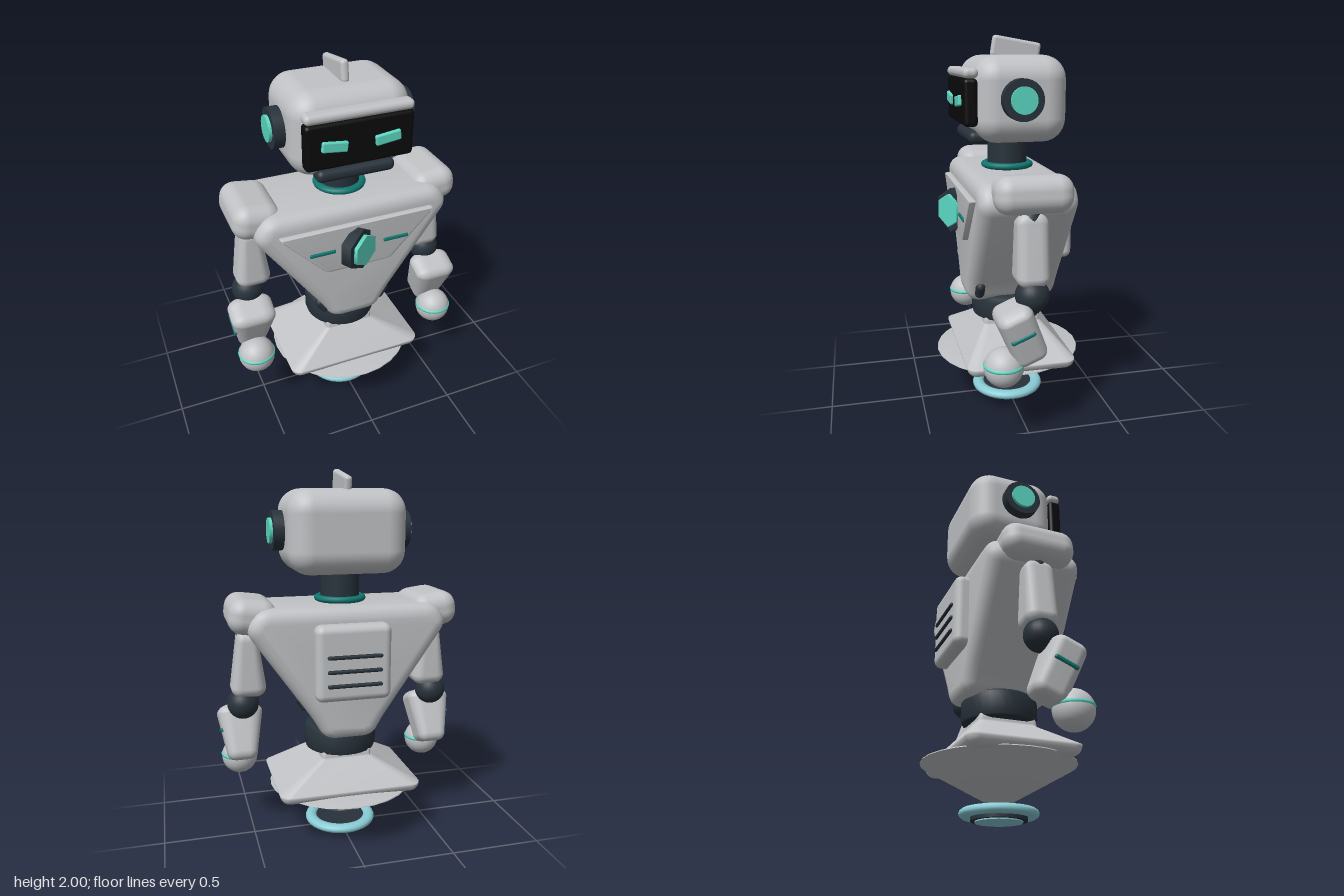
import * as THREE from 'three';
import { mergeVertices, toCreasedNormals } from 'three/addons/utils/BufferGeometryUtils.js';
import { RoundedBoxGeometry } from 'three/addons/geometries/RoundedBoxGeometry.js';

const mat = (name, color) => {
  const m = new THREE.MeshStandardMaterial({ color });
  m.name = name;
  return m;
};

// Rounded box whose cross-section scales linearly between its rounded ends
function taperedBox(w, h, d, r, topX, topZ) {
  let g = new RoundedBoxGeometry(w, h, d, 5, r);
  const p = g.attributes.position;
  for (let i = 0; i < p.count; i++) {
    const t = THREE.MathUtils.clamp((p.getY(i) + h / 2 - r) / (h - 2 * r), 0, 1);
    p.setX(i, p.getX(i) * (1 + (topX - 1) * t));
    p.setZ(i, p.getZ(i) * (1 + (topZ - 1) * t));
  }
  g.deleteAttribute('normal');
  g.deleteAttribute('uv');
  g = mergeVertices(g, 1e-4);
  g.computeVertexNormals();
  return g;
}

// Closed outline with softened corners, mirrored from its right half (top to bottom)
function softShape(half, soft) {
  const pts = [...half, ...half.map(([x, y]) => [-x, y]).reverse()].map(([x, y]) => new THREE.Vector2(x, y));
  const s = new THREE.Shape();
  pts.forEach((p, i) => {
    const toward = (q) => p.clone().add(q.clone().sub(p).setLength(Math.min(soft, p.distanceTo(q) * 0.45)));
    const a = toward(pts[(i + pts.length - 1) % pts.length]);
    const b = toward(pts[(i + 1) % pts.length]);
    if (i === 0) s.moveTo(a.x, a.y); else s.lineTo(a.x, a.y);
    s.quadraticCurveTo(p.x, p.y, b.x, b.y);
  });
  s.closePath();
  return s;
}

// Bevelled slab between z0 and z1 that keeps the outline as its outer size
function slab(shape, z0, z1, bevel, segments) {
  const g = new THREE.ExtrudeGeometry(shape, {
    depth: z1 - z0 - 2 * bevel, bevelThickness: bevel, bevelSize: bevel,
    bevelOffset: -bevel, bevelSegments: segments, curveSegments: 5,
  });
  g.translate(0, 0, z0 + bevel);
  return toCreasedNormals(g, 0.7);
}

export function createModel() {
  const shell = mat('shellGrey', 0xc0c2c5);
  const dark = mat('jointDark', 0x28323b);
  const black = mat('visorBlack', 0x0a0a0b);
  const glow = mat('glowTeal', 0x5cd8c2);
  const teal = mat('deepTeal', 0x0f766f);
  const ice = mat('iceBlue', 0x8accd6);

  const model = new THREE.Group();
  model.name = 'robot';
  const add = (name, geo, material, x = 0, y = 0, z = 0, rx = 0, ry = 0, rz = 0) => {
    const m = new THREE.Mesh(geo, material);
    m.name = name;
    m.position.set(x, y, z);
    m.rotation.set(rx, ry, rz);
    model.add(m);
    return m;
  };
  const box = (w, h, d, r) => new RoundedBoxGeometry(w, h, d, 4, r);
  const cyl = (r, h, n = 32) => new THREE.CylinderGeometry(r, r, h, n);
  const lathe = (pts, n = 32) => toCreasedNormals(
    new THREE.LatheGeometry(pts.map(([x, y]) => new THREE.Vector2(x, y)), n), 0.6);

  // Head
  add('head', box(0.62, 0.43, 0.475, 0.12), shell, 0, 1.685, -0.018);
  add('headFin', box(0.04, 0.11, 0.26, 0.018), shell, 0, 1.925, -0.045, -0.17);
  add('visor', box(0.55, 0.23, 0.07, 0.02), black, 0, 1.675, 0.24);
  add('brow', box(0.55, 0.05, 0.075, 0.024), shell, 0, 1.815, 0.238);
  add('chin', box(0.41, 0.065, 0.1, 0.03), dark, 0, 1.498, 0.19);

  // Neck
  add('neck', cyl(0.105, 0.2), dark, 0, 1.4, 0);
  const collar = add('neckCollar', new THREE.TorusGeometry(0.118, 0.022, 10, 32), teal, 0, 1.332, 0, Math.PI / 2);
  collar.scale.z = 0.8;

  // Torso and chest
  const torsoHalf = [[0.47, 1.315], [0.54, 1.21], [0.185, 0.7], [0.13, 0.6]];
  add('torso', slab(softShape(torsoHalf, 0.06), -0.245, 0.25, 0.065, 4), shell);
  add('chestPanel', slab(softShape([[0.425, 1.225], [0.18, 0.965]], 0.02), 0.22, 0.283, 0.014, 2), shell);
  const turn = Math.PI / 6;
  const hex = (r, h) => new THREE.CylinderGeometry(r, r, h, 6).toNonIndexed().rotateX(Math.PI / 2);
  add('coreFrame', hex(0.12, 0.06), dark, -0.01, 1.09, 0.287, 0, turn);
  add('coreGem', hex(0.09, 0.03), glow, 0.008, 1.09, 0.318, 0, turn);

  // Backpack with vents
  add('backPack', box(0.4, 0.4, 0.11, 0.04), shell, 0, 1.035, -0.26);
  for (const y of [1.075, 1.0, 0.925]) add('backVent', box(0.29, 0.02, 0.022, 0.009), dark, 0, y, -0.317);

  // Waist and pelvis
  add('waist', lathe([[0, 0.485], [0.17, 0.485], [0.192, 0.495], [0.2, 0.52], [0.2, 0.6],
    [0.192, 0.622], [0.17, 0.635], [0, 0.635]]), dark);
  add('pelvis', taperedBox(0.78, 0.25, 0.585, 0.055, 0.36, 0.54), shell, 0, 0.395, 0);

  // Lower cone and hover base
  add('lowerCone', lathe([[0, 0.06], [0.4, 0.28], [0.398, 0.285], [0.3, 0.298], [0, 0.3]], 28), shell);
  const ring = add('hoverRing', new THREE.TorusGeometry(0.167, 0.033, 12, 40), ice, 0, 0.042, 0, Math.PI / 2);
  ring.scale.z = 0.75;
  add('hoverDisc', cyl(0.142, 0.045), dark, 0, 0.0285, 0);
  add('hoverLens', cyl(0.12, 0.008), ice, 0, 0.004, 0);

  for (const s of [1, -1]) {
    // Face and chest details
    add('eye', box(0.13, 0.052, 0.024, 0.008), glow, s * 0.135, 1.677, 0.279, 0, 0, s * 0.12);
    add('earPad', cyl(0.102, 0.07), dark, s * 0.33, 1.69, 0, 0, 0, Math.PI / 2);
    add('earLight', cyl(0.066, 0.03), glow, s * 0.366, 1.69, 0, 0, 0, Math.PI / 2);
    add('chestDash', box(0.14, 0.02, 0.016, 0.007), teal, s * 0.203, 1.097, 0.284);
    add('waistClip', new THREE.CapsuleGeometry(0.026, 0.05, 4, 12), dark, s * 0.178, 0.685, 0.188, 0, 0, -s * 0.55);

    // Arm
    add('shoulder', box(0.25, 0.185, 0.385, 0.078), shell, s * 0.49, 1.265, -0.005, 0, 0, s * 0.13);
    add('shoulderJoint', new THREE.SphereGeometry(0.065, 20, 14), dark, s * 0.5, 1.14, 0);
    add('upperArm', taperedBox(0.187, 0.36, 0.165, 0.055, 0.62, 0.95), shell, s * 0.51, 0.998, 0);
    add('elbow', new THREE.SphereGeometry(0.085, 24, 16), dark, s * 0.54, 0.775, 0);
    add('forearm', taperedBox(0.165, 0.31, 0.175, 0.05, 1.48, 1.05), shell, s * 0.552, 0.59, 0.06, 0.39);
    add('forearmDash', box(0.025, 0.022, 0.125, 0.009), teal, s * 0.653, 0.605, 0.07, 0.39);

    // Hand
    add('hand', new THREE.SphereGeometry(0.1, 28, 18), shell, s * 0.555, 0.42, 0.145);
    add('handRing', new THREE.TorusGeometry(0.092, 0.011, 8, 32), glow, s * 0.555, 0.435, 0.145, Math.PI / 2);
  }
  return model;
}
